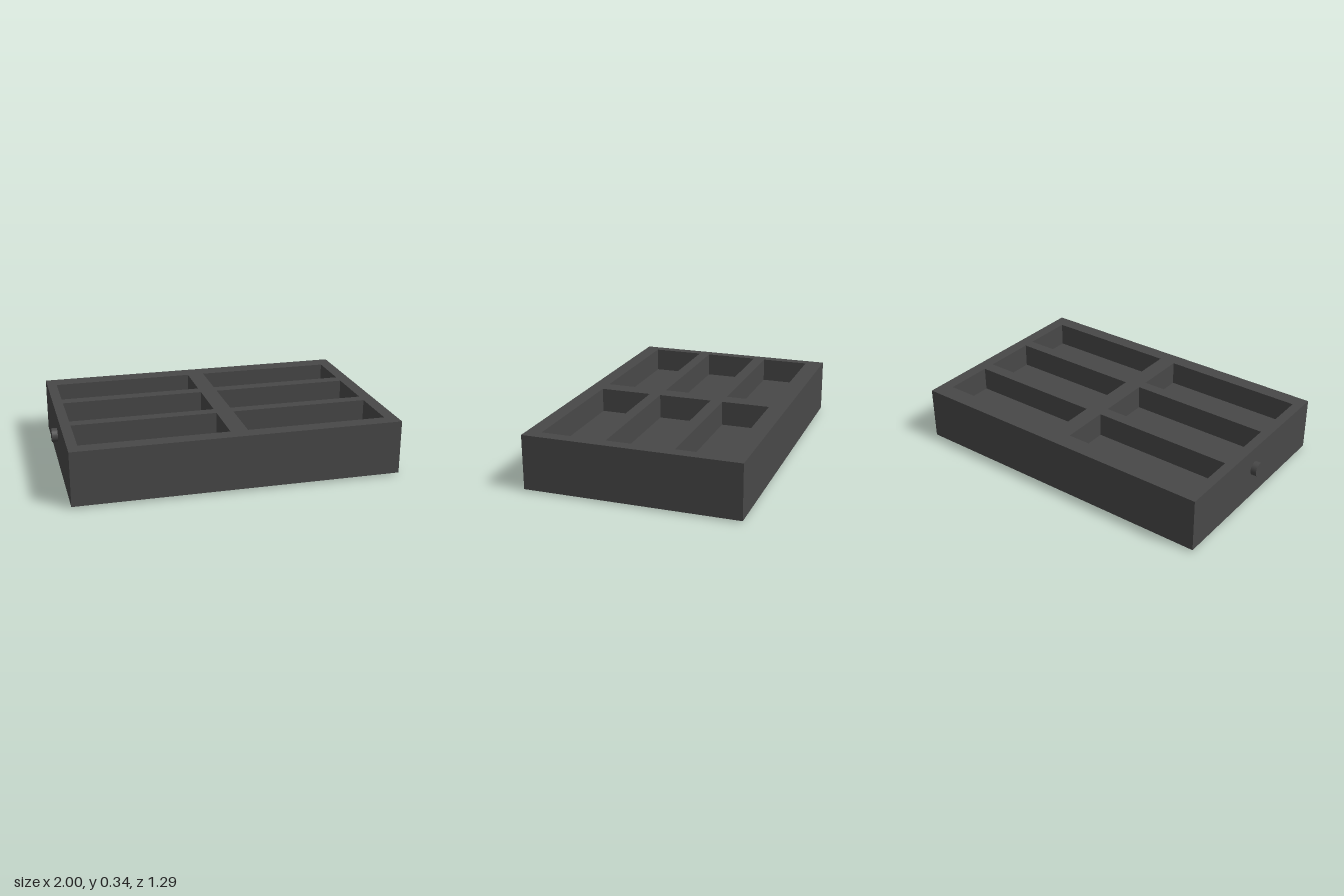
import * as THREE from 'three';

export function createModel() {
  const model = new THREE.Group();
  model.name = 'compartmentTray';
  const charcoal = new THREE.MeshStandardMaterial({ name: 'charcoal', color: 0x484848 });
  const paleGrey = new THREE.MeshStandardMaterial({ name: 'paleGrey', color: 0xc4c4c4 });

  const x0 = -0.965, x1 = 1, halfDepth = 0.645;
  const bottom = 0.01, floor = 0.19, top = 0.338;

  const add = (name, geometry, material = charcoal) => {
    const mesh = new THREE.Mesh(geometry, material);
    mesh.name = name;
    model.add(mesh);
    return mesh;
  };

  // Rectangle in plan; shape y becomes -z once the extrusion is laid flat
  const rectangle = (Kind, xa, xb, za, zb) => new Kind([
    new THREE.Vector2(xa, -zb), new THREE.Vector2(xb, -zb),
    new THREE.Vector2(xb, -za), new THREE.Vector2(xa, -za),
  ]);

  // Walls and dividers, cut by two columns of three compartments
  const frame = rectangle(THREE.Shape, x0, x1, -halfDepth, halfDepth);
  const columns = [[-0.905, -0.025], [0.08, 0.925]];
  const rows = [[-0.535, -0.24], [-0.165, 0.165], [0.235, 0.555]];
  for (const [xa, xb] of columns) {
    for (const [za, zb] of rows) {
      frame.holes.push(rectangle(THREE.Path, xa, xb, za, zb));

      // Compartment floor
      const plate = new THREE.PlaneGeometry(xb - xa, zb - za).rotateX(-Math.PI / 2);
      add('compartmentFloor', plate).position.set((xa + xb) / 2, floor, (za + zb) / 2);
    }
  }
  const walls = new THREE.ExtrudeGeometry(frame, { depth: top - bottom, bevelEnabled: false });
  add('trayFrame', walls.rotateX(-Math.PI / 2)).position.y = bottom;

  // Underside
  const base = new THREE.PlaneGeometry(x1 - x0, 2 * halfDepth).rotateX(Math.PI / 2);
  add('underside', base).position.set((x0 + x1) / 2, bottom - 0.002, 0);

  // Pale strip under the front wall
  const strip = new THREE.PlaneGeometry(x1 - x0, 0.09).rotateX(Math.PI / 2);
  add('undersideStrip', strip, paleGrey).position.set((x0 + x1) / 2, 0, halfDepth - 0.045);

  // Round knob on the right end
  const knob = new THREE.CylinderGeometry(0.042, 0.042, 0.04, 24).rotateZ(Math.PI / 2);
  add('knob', knob).position.set(-0.98, 0.198, 0);

  return model;
}
